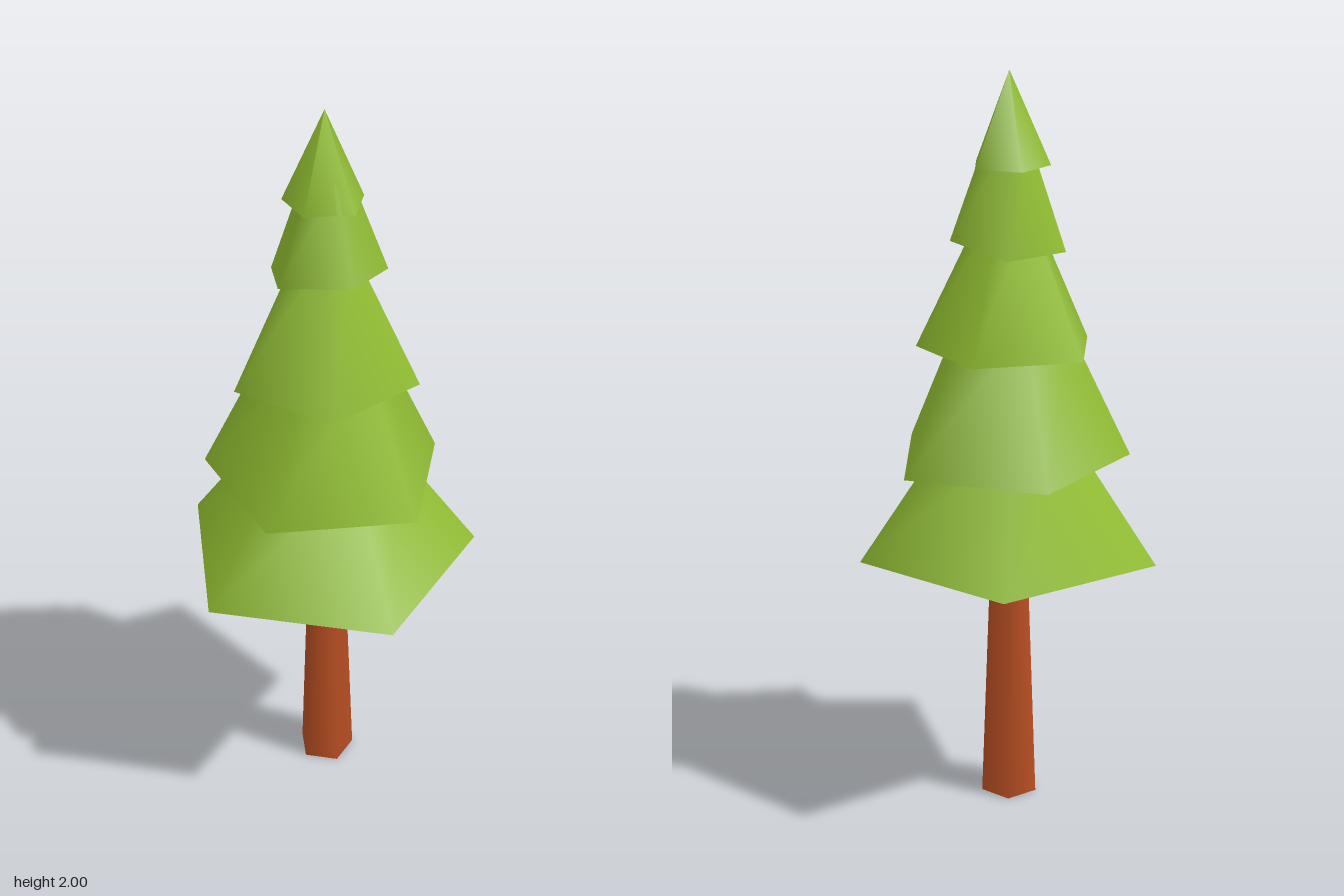
import * as THREE from 'three';

export function createModel() {
  const tree = new THREE.Group();
  tree.name = 'pineTree';

  const foliage = new THREE.MeshStandardMaterial({ color: 0x8fbb30 });
  foliage.name = 'leafGreen';
  const bark = new THREE.MeshStandardMaterial({ color: 0xb94f22 });
  bark.name = 'barkBrown';

  const SIDES = 5;
  const CENTRE_X = -0.008, CENTRE_Z = 0.031;

  // Five-sided tapered column from y = bottom to y = top, turned by degrees;
  // tiltX and tiltZ raise the rim along x and z while the axis stays upright.
  function taperedPart(name, material, { bottom, top, r, rTop, turn, x = CENTRE_X, z = CENTRE_Z, tiltX = 0, tiltZ = 0 }) {
    const height = top - bottom;
    const geometry = new THREE.CylinderGeometry(rTop, r, height, SIDES);
    geometry.translate(0, height / 2, 0);
    geometry.rotateY(THREE.MathUtils.degToRad(turn));
    geometry.applyMatrix4(new THREE.Matrix4().set(
      1, 0, 0, 0,
      tiltX, 1, tiltZ, 0,
      0, 0, 1, 0,
      0, 0, 0, 1));
    const mesh = new THREE.Mesh(geometry, material);
    mesh.name = name;
    mesh.position.set(x, bottom, z);
    tree.add(mesh);
  }

  // Trunk, running a little way into the lowest tier
  taperedPart('trunk', bark, { bottom: 0, top: 0.8, r: 0.079, rTop: 0.049, turn: 176.4 });

  // Foliage tiers, lowest first; each narrows towards its apex and is cut off inside the next
  const tiers = [
    { bottom: 0.72, top: 1.05, apex: 1.3, r: 0.414, turn: 176.4 },
    { bottom: 0.98, top: 1.35, apex: 1.67, r: 0.33, turn: 196.2, x: -0.003, z: 0.042, tiltX: -0.01, tiltZ: 0.03 },
    { bottom: 1.28, top: 1.65, apex: 1.79, r: 0.248, turn: 155.9 },
    { bottom: 1.567, top: 1.82, apex: 1.99, r: 0.157, turn: 176.5, x: -0.006, z: 0.034, tiltX: 0.08, tiltZ: 0.19 },
    { bottom: 1.76, top: 2, apex: 2, r: 0.107, turn: 195.8, tiltZ: 0.05 },
  ];
  tiers.forEach((tier, i) => {
    const rTop = tier.r * (tier.apex - tier.top) / (tier.apex - tier.bottom);
    taperedPart(`foliageTier${i + 1}`, foliage, { ...tier, rTop });
  });

  return tree;
}
